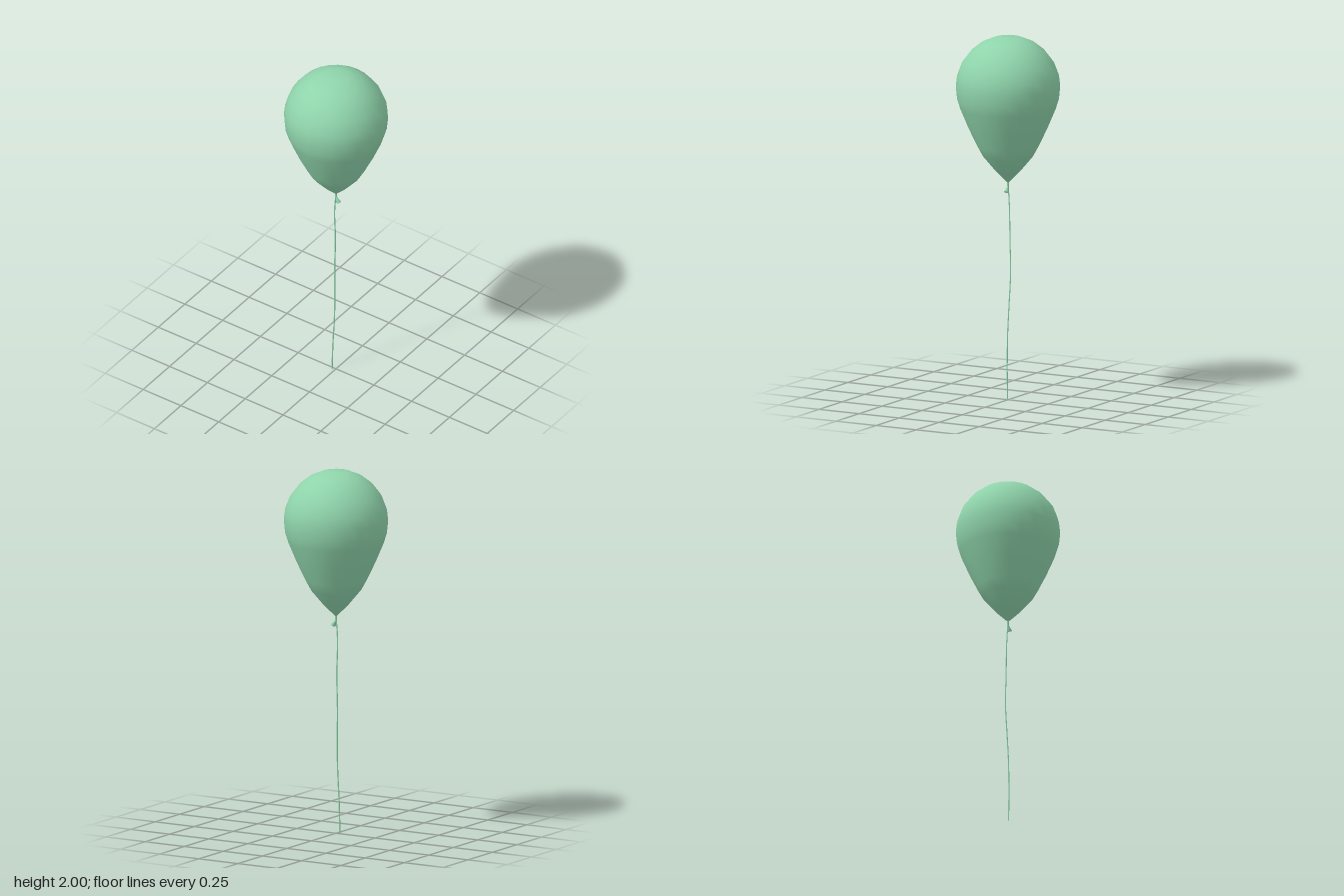
import * as THREE from 'three';

const material = new THREE.MeshStandardMaterial({ color: 0x8fd4ab, side: THREE.DoubleSide });

function addPart(group, name, geometry) {
  const mesh = new THREE.Mesh(geometry, material);
  mesh.name = name;
  group.add(mesh);
  return mesh;
}

export function createModel() {
  const group = new THREE.Group();
  group.name = 'balloonOnString';

  // Inflated body: teardrop profile (radius, height), bottom to top
  const profile = [
    [0, 1.195], [0.07, 1.265], [0.137, 1.345], [0.167, 1.4], [0.215, 1.5],
    [0.259, 1.605], [0.276, 1.66], [0.283, 1.73], [0.276, 1.79], [0.25, 1.86],
    [0.2, 1.925], [0.142, 1.97], [0.073, 1.998], [0, 2],
  ].map(([r, y]) => new THREE.Vector2(r, y));
  addPart(group, 'balloonBody', new THREE.LatheGeometry(profile, 24));

  // Neck joining the body to the string
  const neck = addPart(group, 'neck', new THREE.CylinderGeometry(0.006, 0.004, 0.03, 8));
  neck.position.set(0, 1.187, 0);

  // Flared lip of the tied knot, tilted towards the front
  const lipProfile = [[0.003, 0.02], [0.007, 0], [0.014, -0.016], [0.011, -0.02], [0.003, -0.006]]
    .map(([r, y]) => new THREE.Vector2(r, y));
  const lip = addPart(group, 'knotLip', new THREE.LatheGeometry(lipProfile, 10));
  lip.position.set(0, 1.163, 0.009);
  lip.rotation.x = -0.5;

  // Gently waving string
  const path = new THREE.CatmullRomCurve3([
    [0, 1.195, 0], [0.002, 1.07, -0.011], [0.007, 0.88, -0.009], [0.008, 0.7, -0.014],
    [0.001, 0.52, -0.009], [-0.006, 0.36, -0.006], [-0.012, 0.18, -0.012], [-0.013, 0, -0.017],
  ].map((p) => new THREE.Vector3(...p)));
  addPart(group, 'string', new THREE.TubeGeometry(path, 40, 0.0035, 6, false));

  return group;
}
